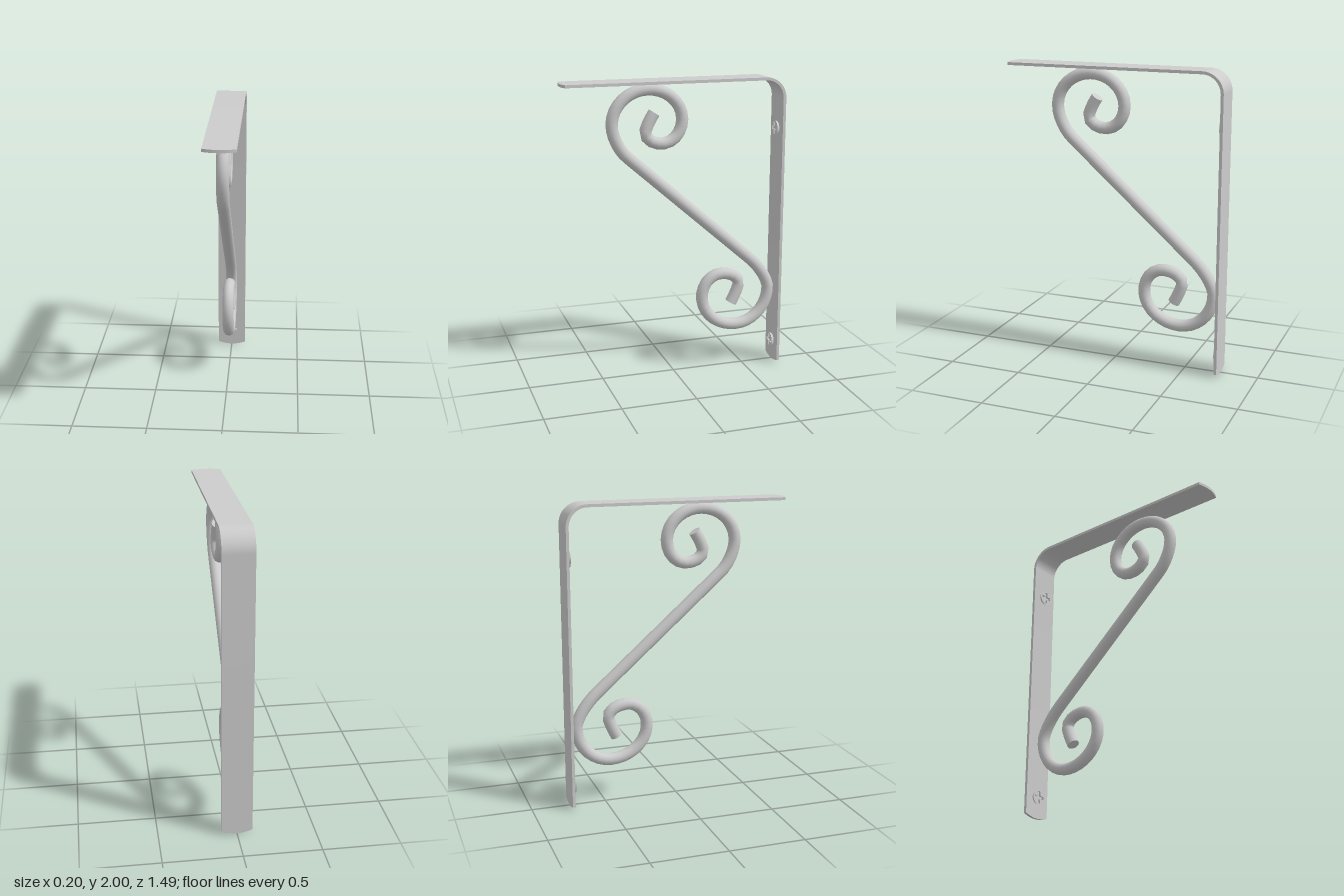
import * as THREE from 'three';
import { toCreasedNormals } from 'three/addons/utils/BufferGeometryUtils.js';

const material = new THREE.MeshStandardMaterial({ color: 0xcccccc });

function part(geometry, name) {
  const mesh = new THREE.Mesh(geometry, material);
  mesh.name = name;
  return mesh;
}

// Flat strap bent into an L, with softly bowed ends
function strapGeometry() {
  const front = 0.726, back = -0.746, top = 2, bottom = 0.02;
  const t = 0.019, r = 0.14, half = 0.1, bow = 0.02;
  const s = new THREE.Shape();
  s.moveTo(front, top);
  s.lineTo(back + r, top);
  s.absarc(back + r, top - r, r, Math.PI / 2, Math.PI, false);
  s.lineTo(back, bottom);
  s.lineTo(back + t, bottom);
  s.lineTo(back + t, top - r);
  s.absarc(back + r, top - r, r - t, Math.PI, Math.PI / 2, true);
  s.lineTo(front, top - t);
  s.closePath();
  const g = new THREE.ExtrudeGeometry(s, { depth: 2 * half, steps: 12, bevelEnabled: false, curveSegments: 10 });
  g.translate(0, 0, -half);
  g.rotateY(-Math.PI / 2);
  const p = g.attributes.position;
  for (let i = 0; i < p.count; i++) {
    const bulge = bow * (1 - (p.getX(i) / half) ** 2);
    if (p.getZ(i) > front - 0.01) p.setZ(i, p.getZ(i) + bulge);
    if (p.getY(i) < bottom + 0.01) p.setY(i, p.getY(i) - bulge);
  }
  return toCreasedNormals(g, 0.6);
}

// Scroll centre line: each bend runs from a to b, rounding the given corner; points are [z, y]
function scrollPath() {
  const v = ([z, y]) => new THREE.Vector3(0, y, z);
  const path = new THREE.CurvePath();
  const bend = (a, corner, b) => {
    const c = v(corner);
    path.add(new THREE.CubicBezierCurve3(v(a), v(a).lerp(c, 0.552), v(b).lerp(c, 0.552), v(b)));
  };
  // upper curl
  bend([0.13, 1.79], [0.19, 1.70], [0.19, 1.665]);
  bend([0.19, 1.665], [0.19, 1.587], [0.075, 1.587]);
  bend([0.075, 1.587], [-0.06, 1.587], [-0.06, 1.74]);
  bend([-0.06, 1.74], [-0.06, 1.942], [0.17, 1.942]);
  bend([0.17, 1.942], [0.412, 1.942], [0.412, 1.72]);
  bend([0.412, 1.72], [0.412, 1.597], [0.3125, 1.51]);
  // diagonal brace
  path.add(new THREE.LineCurve3(v([0.3125, 1.51]), v([-0.545, 0.757])));
  // lower curl
  bend([-0.545, 0.757], [-0.686, 0.633], [-0.686, 0.535]);
  bend([-0.686, 0.535], [-0.686, 0.29], [-0.455, 0.29]);
  bend([-0.455, 0.29], [-0.204, 0.29], [-0.204, 0.51]);
  bend([-0.204, 0.51], [-0.204, 0.665], [-0.34, 0.665]);
  bend([-0.34, 0.665], [-0.47, 0.665], [-0.47, 0.585]);
  bend([-0.47, 0.585], [-0.47, 0.55], [-0.415, 0.45]);
  return path;
}

function createScroll() {
  const group = new THREE.Group();
  group.name = 'scrollBrace';
  const path = scrollPath(), radius = 0.04, sides = 16;
  group.add(part(new THREE.TubeGeometry(path, 96, radius, sides, false), 'scrollRod'));
  for (const end of [0, 1]) {
    const cap = part(new THREE.CircleGeometry(radius, sides), end ? 'lowerRodEnd' : 'upperRodEnd');
    const outward = path.getTangentAt(end).multiplyScalar(end ? 1 : -1);
    cap.position.copy(path.getPointAt(end));
    cap.quaternion.setFromUnitVectors(new THREE.Vector3(0, 0, 1), outward);
    group.add(cap);
  }
  return group;
}

// Countersunk screw head with a cross-shaped recess
function createScrew(name, y) {
  const group = new THREE.Group();
  group.name = name;
  const radius = 0.055, depth = 0.02, arm = 0.041, w = 0.011;
  const head = new THREE.Shape().absarc(0, 0, radius, 0, Math.PI * 2, false);
  const cross = [];
  for (let i = 0; i < 4; i++) {
    for (const [x, yy] of [[arm, -w], [arm, w], [w, w]]) {
      cross.push(new THREE.Vector2(x, yy).rotateAround(new THREE.Vector2(), i * Math.PI / 2));
    }
  }
  head.holes.push(new THREE.Path(cross));
  const g = new THREE.ExtrudeGeometry(head, { depth, bevelEnabled: false, curveSegments: 10 });
  const p = g.attributes.position;
  for (let i = 0; i < p.count; i++) {
    if (p.getZ(i) < 0.001 && Math.hypot(p.getX(i), p.getY(i)) > 0.05) {
      p.setXY(i, p.getX(i) * 0.78, p.getY(i) * 0.78);
    }
  }
  group.add(part(toCreasedNormals(g, 0.6), 'screwHead'));
  const floor = part(new THREE.CircleGeometry(0.043, 20), 'recessFloor');
  floor.position.z = 0.006;
  group.add(floor);
  group.position.set(0, y, -0.728);
  return group;
}

export function createModel() {
  const model = new THREE.Group();
  model.name = 'shelfBracket';
  model.add(
    part(strapGeometry(), 'strap'),
    createScroll(),
    createScrew('upperScrew', 1.65),
    createScrew('lowerScrew', 0.142)
  );
  return model;
}
